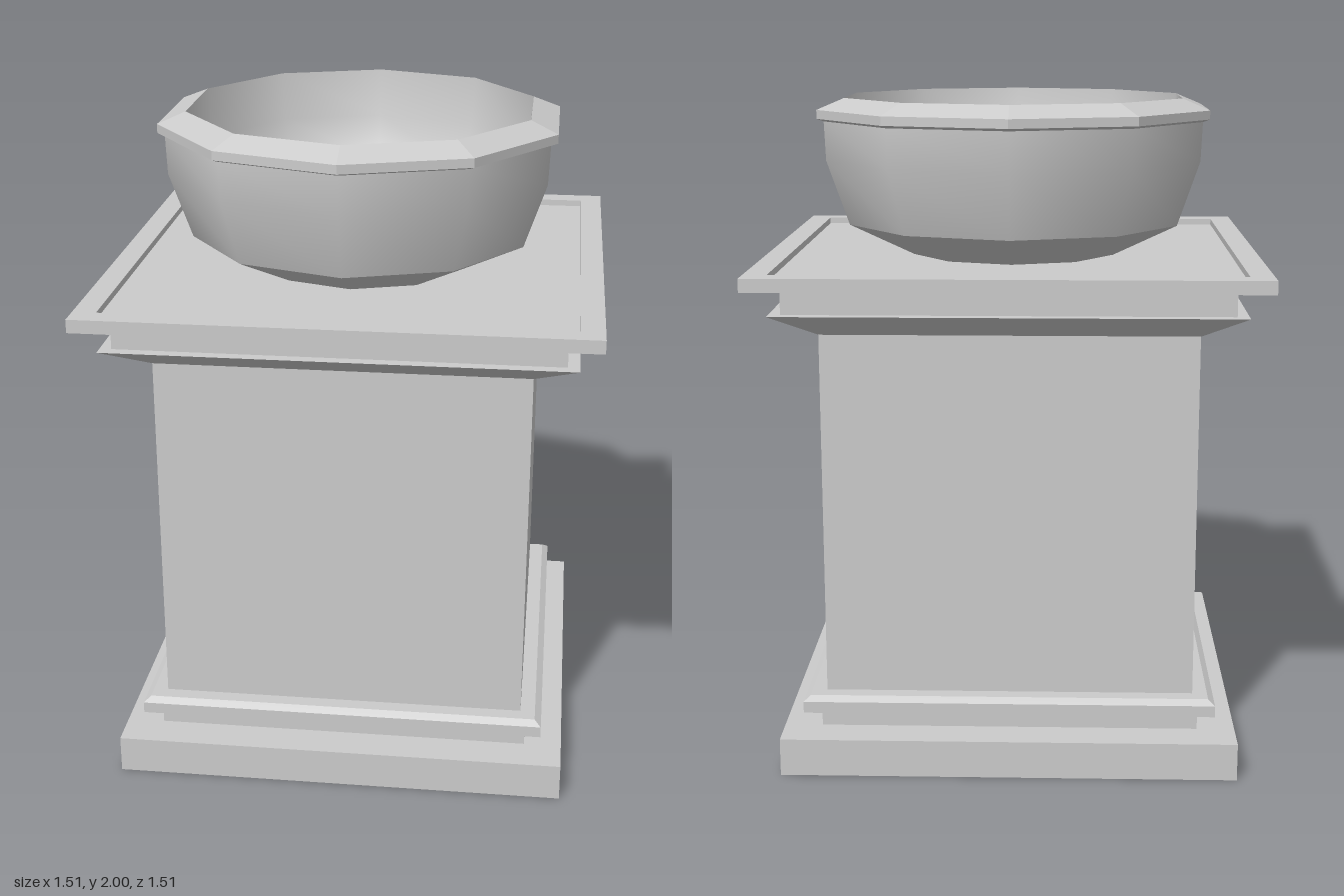
import * as THREE from 'three';
import { toCreasedNormals } from 'three/addons/utils/BufferGeometryUtils.js';

const flat = new THREE.MeshStandardMaterial({ color: 0xcccccc, flatShading: true, side: THREE.DoubleSide });
const smooth = new THREE.MeshStandardMaterial({ color: 0xcccccc, side: THREE.DoubleSide });

const toPoints = (profile, k = 1) => profile.map(([r, y]) => new THREE.Vector2(r * k, y));

// Square moulding: profile of [half width, height], swept round four sides
function squareLoft(name, profile) {
  const geo = new THREE.LatheGeometry(toPoints(profile, Math.SQRT2), 4, Math.PI / 4);
  const mesh = new THREE.Mesh(geo, flat);
  mesh.name = name;
  return mesh;
}

// Ten-sided turning: profile of [corner radius, height]
function decagonLathe(name, profile, isFlat) {
  const geo = new THREE.LatheGeometry(toPoints(profile), 10);
  const mesh = new THREE.Mesh(isFlat ? geo : toCreasedNormals(geo, 0.72), isFlat ? flat : smooth);
  mesh.name = name;
  return mesh;
}

export function createModel() {
  const model = new THREE.Group();
  model.name = 'pedestalUrn';

  // Hollow pedestal shell, open underneath
  model.add(
    squareLoft('base', [
      [0.69, 0], [0.69, 0.115], [0.575, 0.115], [0.575, 0.175],
      [0.625, 0.175], [0.625, 0.21], [0.605, 0.225], [0.56, 0.225],
    ]),
    squareLoft('shaft', [[0.56, 0.225], [0.56, 1.335]]),
    squareLoft('cornice', [[0.56, 1.335], [0.69, 1.41], [0.655, 1.41], [0.655, 1.49]]),
    // Cap slab with a shallow sunken top
    squareLoft('capSlab', [
      [0.655, 1.49], [0.755, 1.49], [0.755, 1.53], [0.685, 1.53], [0.685, 1.51], [0, 1.51],
    ]),
  );

  // Bowl: smooth outside, faceted rim, smooth hollow inside
  const bowl = new THREE.Group();
  bowl.name = 'bowl';
  bowl.add(
    decagonLathe('bowlOutside', [[0.33, 1.51], [0.535, 1.61], [0.605, 1.81], [0.61, 1.93]], false),
    decagonLathe('bowlRim', [[0.61, 1.93], [0.632, 1.938], [0.632, 1.965], [0.545, 2]], true),
    decagonLathe('bowlInside', [
      [0.545, 2], [0.53, 1.85], [0.48, 1.71], [0.38, 1.62], [0.2, 1.57], [0, 1.555],
    ], false),
  );
  model.add(bowl);
  return model;
}
